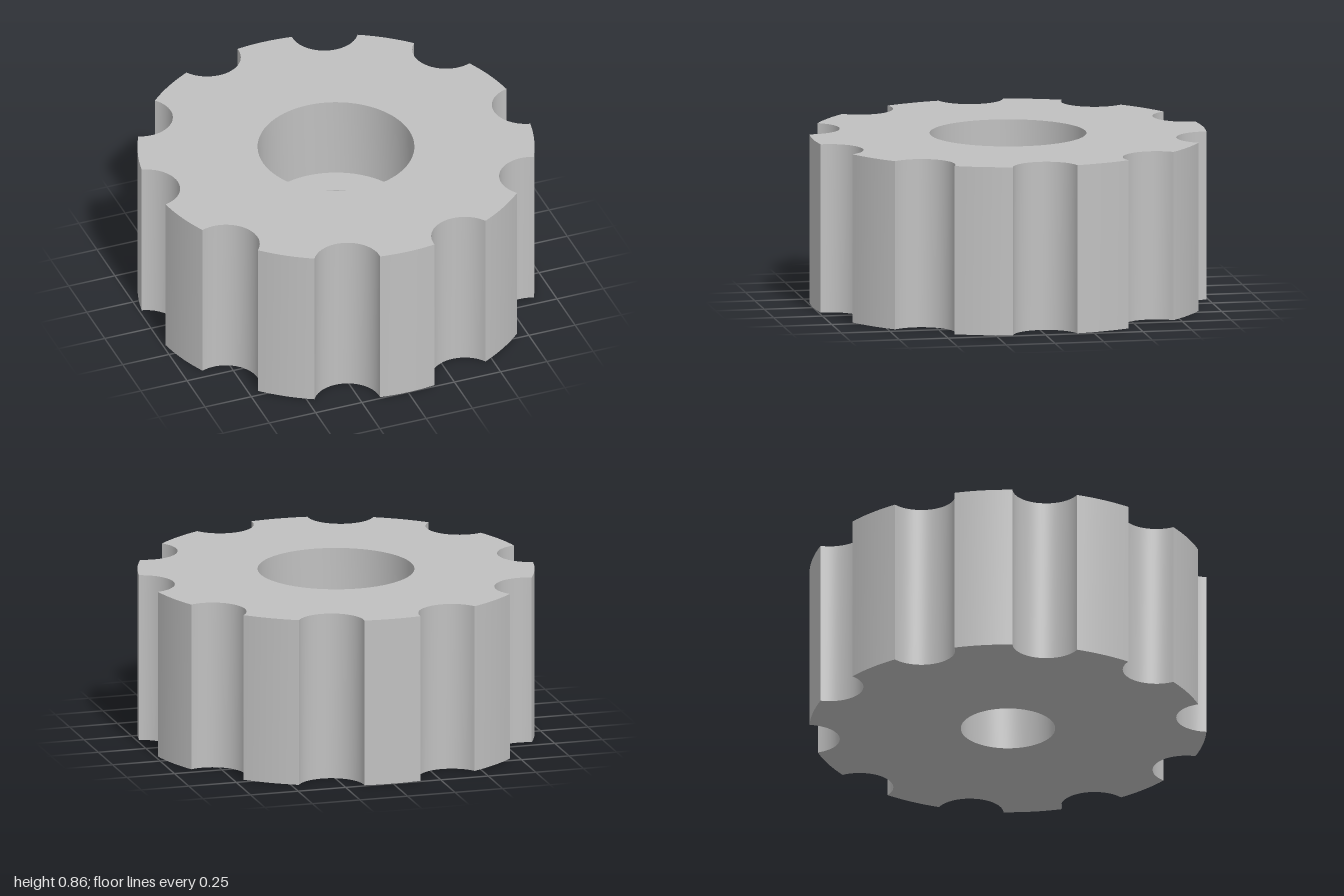
import * as THREE from 'three';
import { mergeGeometries, toCreasedNormals } from 'three/addons/utils/BufferGeometryUtils.js';

const HEIGHT = 0.86, LEDGE = 0.43;         // overall height, counterbore floor
const BORE = 0.238, COUNTERBORE = 0.395;   // hole radii
const COUNT = 10, NOTCH_C = 1.025, NOTCH_R = 0.17;
const STEP = (2 * Math.PI) / COUNT;

// where a notch circle crosses the unit rim
const edgeDist = (1 + NOTCH_C ** 2 - NOTCH_R ** 2) / (2 * NOTCH_C);
const edgeAngle = Math.acos(edgeDist);
const edgePhi = Math.acos((edgeDist - NOTCH_C) / NOTCH_R);

// point in plan (x, z) from radial and tangential distance at angle a
function plan(a, radial, tangential) {
  return new THREE.Vector2(
    radial * Math.sin(a) + tangential * Math.cos(a),
    radial * Math.cos(a) - tangential * Math.sin(a));
}

function notchArc(a, n = 24) {
  return Array.from({ length: n + 1 }, (_, i) => {
    const phi = -edgePhi - (i / n) * (2 * Math.PI - 2 * edgePhi);
    return plan(a, NOTCH_C + NOTCH_R * Math.cos(phi), NOTCH_R * Math.sin(phi));
  });
}

function rimArc(a, n = 8) {
  const from = a + edgeAngle, span = STEP - 2 * edgeAngle;
  return Array.from({ length: n + 1 }, (_, i) => plan(from + (i / n) * span, 1, 0));
}

// upright wall following a plan path, smooth along its length
function wall(path) {
  const geo = new THREE.PlaneGeometry(1, HEIGHT, path.length - 1, 1);
  const pos = geo.attributes.position;
  for (let i = 0; i < pos.count; i++) {
    const p = path[i % path.length];
    pos.setXYZ(i, p.x, i < path.length ? HEIGHT : 0, p.y);
  }
  geo.computeVertexNormals();
  return geo;
}

// flat end face with a round hole
function endFace(outline, holeRadius) {
  const shape = new THREE.Shape(outline);
  shape.holes.push(new THREE.Path().absarc(0, 0, holeRadius, 0, 2 * Math.PI, true));
  return new THREE.ShapeGeometry(shape, 36);
}

export function createModel() {
  const group = new THREE.Group();
  group.name = 'notchedWheel';
  const grey = new THREE.MeshStandardMaterial({ color: 0xc0c0c0 });
  grey.name = 'plain grey';
  const add = (name, geo) => {
    const mesh = new THREE.Mesh(geo, grey);
    mesh.name = name;
    group.add(mesh);
  };

  // rim: alternating round notches and tooth faces
  const outline = [], notches = [], teeth = [];
  for (let i = 0; i < COUNT; i++) {
    const a = (i + 0.5) * STEP;
    const notch = notchArc(a), rim = rimArc(a);
    notches.push(wall(notch));
    teeth.push(wall(rim));
    outline.push(...notch.slice(0, -1), ...rim.slice(0, -1));
  }
  add('notches', mergeGeometries(notches));
  add('toothFaces', mergeGeometries(teeth));

  // end faces
  add('topFace', endFace(outline, COUNTERBORE).rotateX(-Math.PI / 2).translate(0, HEIGHT, 0));
  add('bottomFace', endFace(outline, BORE).rotateX(Math.PI / 2));

  // stepped hole: wide recess, ledge, narrow bore
  const profile = [[COUNTERBORE, HEIGHT], [COUNTERBORE, LEDGE], [BORE, LEDGE], [BORE, 0]]
    .map(([r, y]) => new THREE.Vector2(r, y));
  add('steppedBore', toCreasedNormals(new THREE.LatheGeometry(profile, 72), 0.6));

  return group;
}
